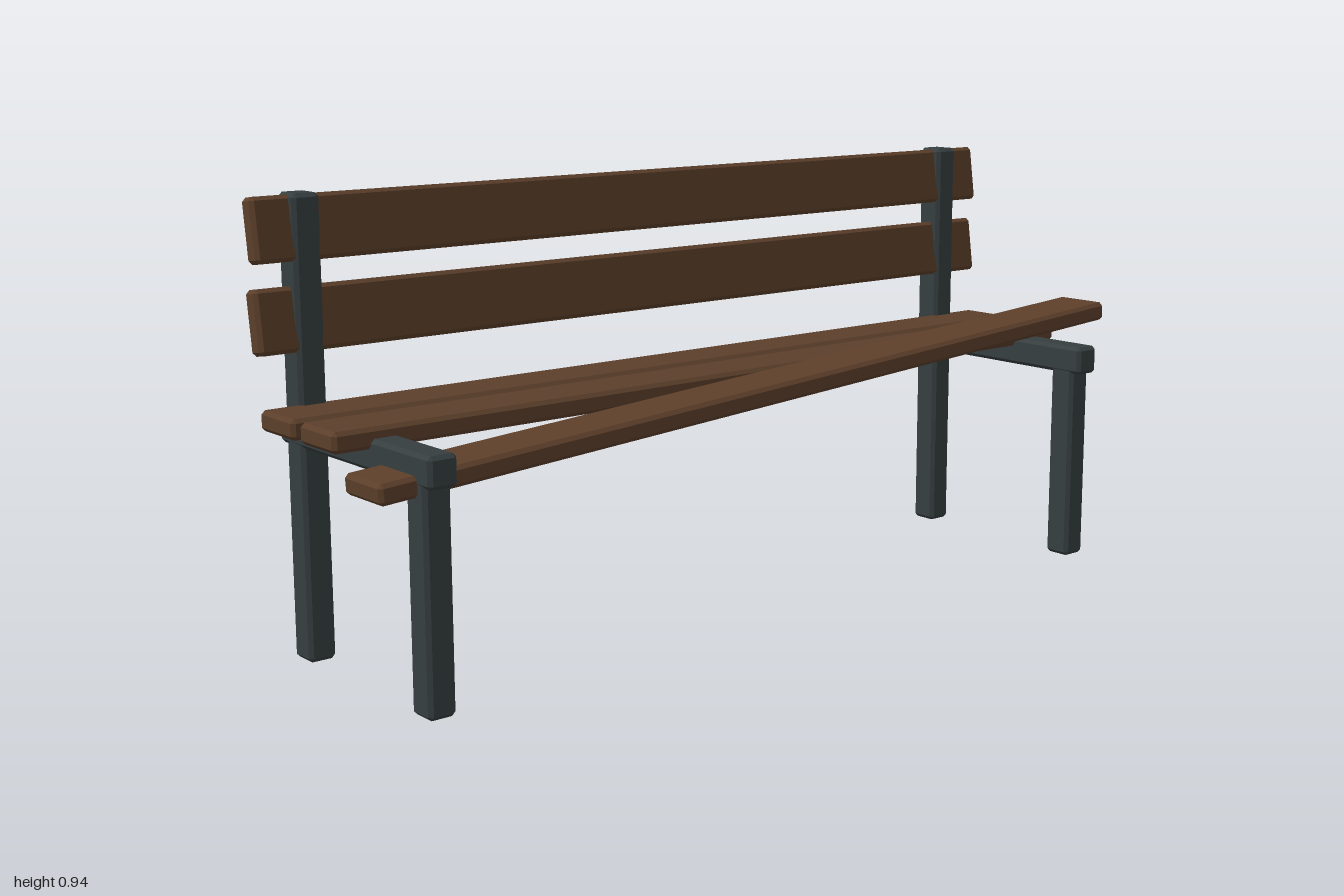
import * as THREE from 'three';
import { ConvexGeometry } from 'three/addons/geometries/ConvexGeometry.js';

const CHAMFER = 0.008;

// Box with every edge and corner cut flat
function chamferBox(w, h, d, c = CHAMFER) {
  const points = [];
  for (const sx of [-1, 1]) for (const sy of [-1, 1]) for (const sz of [-1, 1]) {
    const x = w / 2, y = h / 2, z = d / 2;
    points.push(
      new THREE.Vector3(sx * x, sy * (y - c), sz * (z - c)),
      new THREE.Vector3(sx * (x - c), sy * y, sz * (z - c)),
      new THREE.Vector3(sx * (x - c), sy * (y - c), sz * z)
    );
  }
  return new ConvexGeometry(points);
}

export function createModel() {
  const model = new THREE.Group();
  model.name = 'bench';

  const wood = new THREE.MeshStandardMaterial({ color: 0x5c3f2a });
  wood.name = 'brown wood';
  const iron = new THREE.MeshStandardMaterial({ color: 0x363e3f });
  iron.name = 'dark iron';

  function add(name, geometry, material, x, y, z) {
    const mesh = new THREE.Mesh(geometry, material);
    mesh.name = name;
    mesh.position.set(x, y, z);
    model.add(mesh);
    return mesh;
  }

  // Iron frames: front leg, tall back post and seat rail at each end
  const frontLeg = chamferBox(0.06, 0.46, 0.065);
  const backPost = chamferBox(0.06, 0.945, 0.065);
  const rail = chamferBox(0.063, 0.064, 0.555);
  for (const [side, x] of [['left', 0.89], ['right', -0.89]]) {
    add(side + 'FrontLeg', frontLeg, iron, x, 0.23, 0.223);
    add(side + 'BackPost', backPost, iron, x, 0.4725, -0.223);
    add(side + 'SeatRail', rail, iron, x, 0.475, 0);
  }

  // Seat slats; the front one has come loose and sits askew
  const slat = chamferBox(2, 0.042, 0.13);
  add('backSeatSlat', slat, wood, 0, 0.508, -0.144);
  add('middleSeatSlat', slat, wood, 0, 0.508, 0.011);
  add('looseFrontSlat', slat, wood, 0, 0.508, 0.168).rotation.z = 0.07;

  // Backrest slats, leaning slightly backwards
  const backSlat = chamferBox(2, 0.13, 0.042);
  add('lowerBackrestSlat', backSlat, wood, 0, 0.697, -0.222).rotation.x = -0.14;
  add('upperBackrestSlat', backSlat, wood, 0, 0.876, -0.222).rotation.x = -0.14;

  return model;
}
